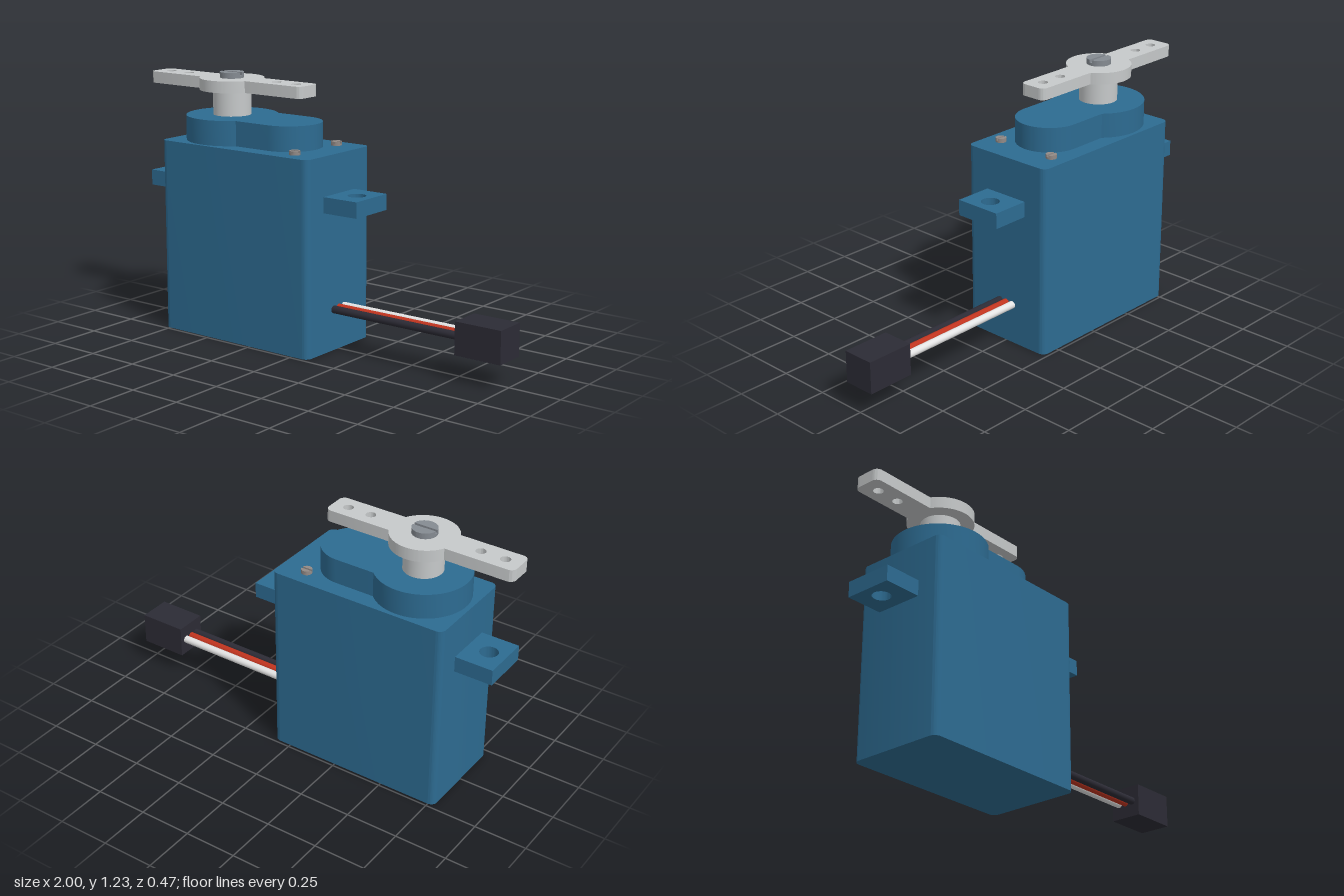
import * as THREE from 'three';
import { toCreasedNormals } from 'three/addons/utils/BufferGeometryUtils.js';

const paint = (name, color) => {
  const m = new THREE.MeshStandardMaterial({ color });
  m.name = name;
  return m;
};

// Extrude a plan shape (x, -z) upward from y0 to y1
function slab(shape, y0, y1) {
  const g = new THREE.ExtrudeGeometry(shape, { depth: y1 - y0, bevelEnabled: false, curveSegments: 24 });
  g.rotateX(-Math.PI / 2).translate(0, y0, 0);
  return toCreasedNormals(g, 0.6);
}

function roundedRect(x0, x1, hz, r) {
  const s = new THREE.Shape();
  s.absarc(x1 - r, hz - r, r, 0, Math.PI / 2);
  s.absarc(x0 + r, hz - r, r, Math.PI / 2, Math.PI);
  s.absarc(x0 + r, -hz + r, r, Math.PI, Math.PI * 1.5);
  s.absarc(x1 - r, -hz + r, r, Math.PI * 1.5, Math.PI * 2);
  s.closePath();
  return s;
}

function hole(shape, x, r) {
  const p = new THREE.Path();
  p.absarc(x, 0, r, 0, Math.PI * 2, true);
  shape.holes.push(p);
}

export function createModel() {
  const model = new THREE.Group();
  model.name = 'servoMotor';
  const blue = paint('blue plastic', 0x2d6b91);
  const horn = paint('pale grey plastic', 0xc6c9ca);
  const steel = paint('steel', 0x858b92);
  const caseSteel = paint('dull steel', 0x928a86);
  const dark = paint('black plastic', 0x2c2b35);
  const red = paint('red wire', 0xc0341f);
  const white = paint('white wire', 0xe4e4e4);

  const add = (name, geo, mat, parent = model) => {
    const m = new THREE.Mesh(geo, mat);
    m.name = name;
    parent.add(m);
    return m;
  };

  const shaftX = -0.54, bodyMid = -0.345;

  // Case
  add('case', slab(roundedRect(-0.78, 0.09, 0.235, 0.032), 0, 0.915), blue);

  // Mounting tabs with screw holes
  for (const s of [-1, 1]) {
    const a = bodyMid + s * 0.43, b = bodyMid + s * 0.617;
    const x0 = Math.min(a, b), x1 = Math.max(a, b);
    const tab = new THREE.Shape([
      new THREE.Vector2(x0, -0.115), new THREE.Vector2(x1, -0.115),
      new THREE.Vector2(x1, 0.115), new THREE.Vector2(x0, 0.115),
    ]);
    hole(tab, bodyMid + s * 0.535, 0.042);
    add(s > 0 ? 'leftTab' : 'rightTab', slab(tab, 0.658, 0.732), blue);
  }

  // Gear housing: a large round joined to a smaller rounded end
  const R = 0.217, r = 0.154, th = Math.asin(r / R);
  const housing = new THREE.Shape();
  housing.absarc(shaftX, 0, R, th, Math.PI * 2 - th);
  housing.absarc(-0.042 - r, 0, r, -Math.PI / 2, Math.PI / 2);
  housing.closePath();
  add('gearHousing', slab(housing, 0.915, 1.032), blue);

  // Output shaft
  add('shaft', new THREE.CylinderGeometry(0.09, 0.09, 0.12, 40).translate(shaftX, 1.091, 0), horn);

  // Two-armed horn with a round hub
  const hub = 0.152, w = 0.068, tip = 0.46, c = 0.028, al = Math.asin(w / hub);
  const arm = new THREE.Shape();
  for (const s of [1, -1]) {
    const t = s > 0 ? 0 : Math.PI;
    arm.absarc(shaftX + s * (tip - c), -s * (w - c), c, t - Math.PI / 2, t);
    arm.absarc(shaftX + s * (tip - c), s * (w - c), c, t, t + Math.PI / 2);
    arm.absarc(shaftX, 0, hub, t + al, t + Math.PI - al);
  }
  arm.closePath();
  for (const d of [-0.385, -0.27, 0.27, 0.385]) hole(arm, shaftX + d, 0.023);
  add('horn', slab(arm, 1.15, 1.205), horn);

  // Slotted screw: a base disc carrying two half heads
  function screw(name, x, y, z, rad, h, gap, mat) {
    const g = new THREE.Group();
    g.name = name;
    g.position.set(x, y, z);
    const low = h * 0.5, a = Math.asin(gap / rad);
    add('screwBase', new THREE.CylinderGeometry(rad, rad, low, 32).translate(0, low / 2, 0), mat, g);
    for (const s of [0, Math.PI]) {
      const half = new THREE.Shape();
      half.absarc(0, 0, rad, s + a, s + Math.PI - a);
      half.closePath();
      add('screwHalf', slab(half, low, h), mat, g);
    }
    model.add(g);
  }
  screw('hornScrew', shaftX, 1.205, 0, 0.057, 0.027, 0.007, steel);
  for (const s of [-1, 1]) screw('caseScrew', -0.042, 0.915, s * 0.154, 0.025, 0.019, 0.005, caseSteel);

  // Three-wire cable and its plug
  [['whiteWire', white], ['redWire', red], ['blackWire', dark]].forEach(([name, mat], i) => {
    const g = new THREE.CylinderGeometry(0.018, 0.018, 0.72, 16).rotateZ(Math.PI / 2);
    add(name, g.translate(0.43, 0.195, (i - 1) * 0.038), mat);
  });
  add('plug', new THREE.BoxGeometry(0.23, 0.152, 0.154).translate(0.885, 0.195, 0), dark);

  return model;
}
